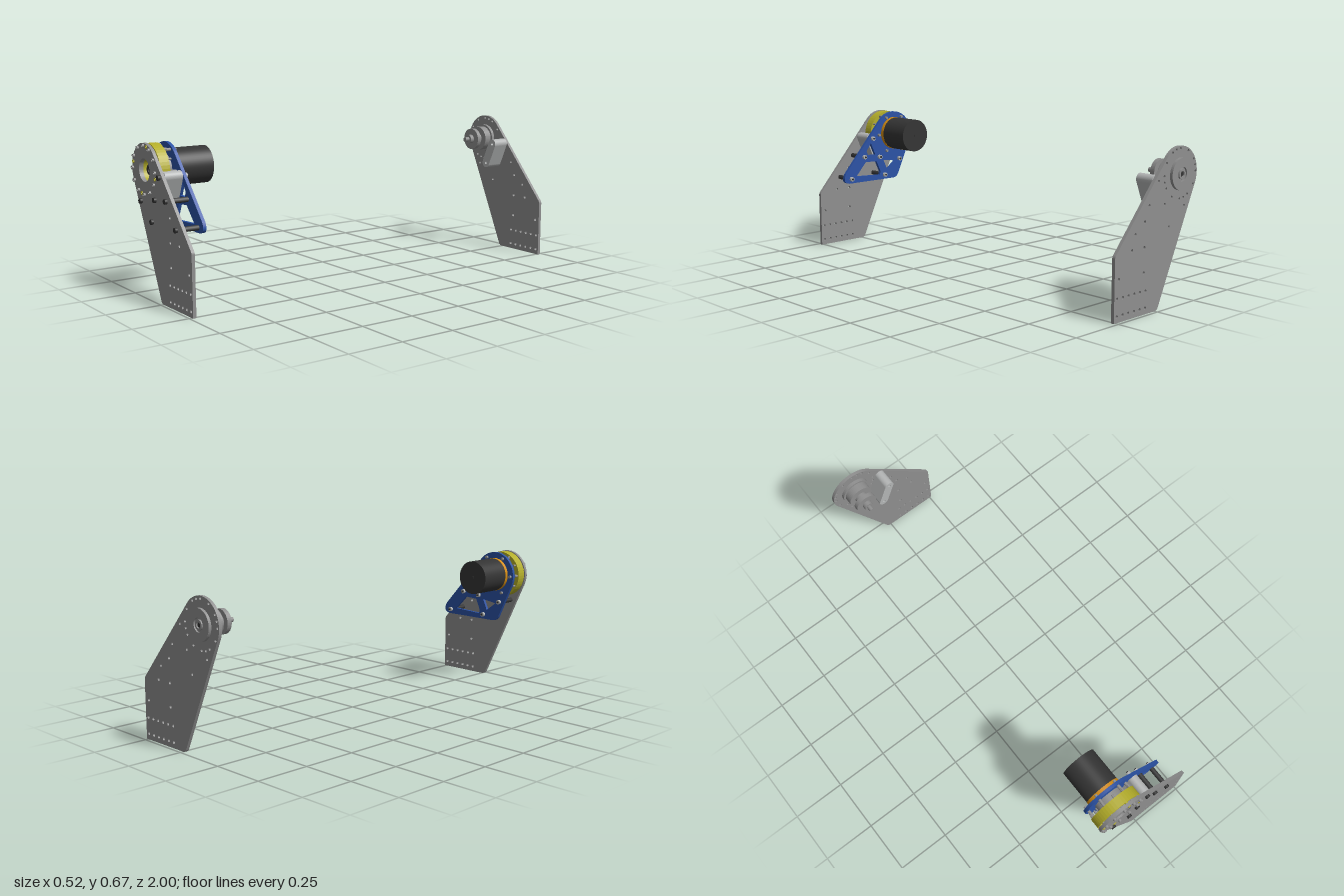
import * as THREE from 'three';

const mat = (name, color) => {
  const m = new THREE.MeshStandardMaterial({ color });
  m.name = name;
  return m;
};
const CX = -0.146, CY = 0.556, R = 0.116; // rounded head of the arm plates
const UP = 41.3 * Math.PI / 180, DOWN = 205 * Math.PI / 180; // tangent angles
const PINS = [[-0.18, 0.42], [-0.08, 0.343], [0.137, 0.343], [0.052, 0.449]];
const LINK_PINS = [[-0.005, 0.541], [-0.048, 0.441]];

export function createModel() {
  const root = new THREE.Group();
  const grey = mat('plate grey', 0x8f8f8f);
  const light = mat('light aluminium', 0xb4b6b6);
  const dark = mat('dark steel', 0x343434);
  const blue = mat('blue', 0x2b52a5);
  const yellow = mat('yellow', 0xb4ae2a);
  const orange = mat('orange', 0xd48c12);

  const add = (parent, name, geo, material, x = 0, y = 0, z = 0) => {
    const m = new THREE.Mesh(geo, material);
    m.name = name;
    m.position.set(x, y, z);
    parent.add(m);
    return m;
  };
  // cylinder along z between two depths
  const rod = (parent, name, material, x, y, r, z0, z1, sides = 40) => {
    const g = new THREE.CylinderGeometry(r, r, Math.abs(z1 - z0), sides).rotateX(Math.PI / 2);
    return add(parent, name, g, material, x, y, (z0 + z1) / 2);
  };
  const hole = (shape, x, y, r) => {
    shape.holes.push(new THREE.Path().absarc(x, y, r, 0, Math.PI * 2, true));
  };
  const slab = (parent, name, shape, material, z0, z1) => add(parent, name,
    new THREE.ExtrudeGeometry(shape, { depth: z1 - z0, bevelEnabled: false, curveSegments: 24 }), material, 0, 0, z0);
  const disc = (x, y, r, inner) => {
    const s = new THREE.Shape().absarc(x, y, r, 0, Math.PI * 2, false);
    if (inner) hole(s, x, y, inner);
    return s;
  };
  const polar = (r, deg) => {
    const a = deg * Math.PI / 180;
    return [CX + r * Math.cos(a), CY + r * Math.sin(a)];
  };
  const bolts = Array.from({ length: 12 }, (_, i) => polar(0.105, i * 30));
  const dowels = [75, 165, 255, 345].map(a => polar(0.105, a));

  // large arm plate outline with its hole pattern
  const armPlate = bore => {
    const s = new THREE.Shape();
    s.moveTo(0, 0);
    s.lineTo(0.26, 0);
    s.lineTo(0.26, 0.262);
    s.quadraticCurveTo(0.26, 0.27, 0.254, 0.277);
    s.absarc(CX, CY, R, UP, DOWN, false);
    s.lineTo(-0.021, 0.012);
    s.quadraticCurveTo(-0.015, 0, 0, 0);
    hole(s, CX, CY, bore);
    [[0.078, 0.385], [0.078, 0.28], [0.157, 0.28], [0.078, 0.176], [0.235, 0.176]]
      .forEach(([x, y]) => hole(s, x, y, 0.007));
    for (let i = 0; i < 6; i++) for (const y of [0.026, 0.098]) hole(s, 0.064 + i * 0.0358, y, 0.007);
    [...PINS, ...LINK_PINS, ...bolts, ...dowels].forEach(([x, y]) => hole(s, x, y, 0.006));
    return s;
  };

  // stadium-shaped spacer link between two pins
  const link = () => {
    const [[ax, ay], [bx, by]] = LINK_PINS;
    const a = Math.atan2(by - ay, bx - ax);
    const s = new THREE.Shape();
    s.absarc(ax, ay, 0.024, a + Math.PI / 2, a + Math.PI * 1.5, false);
    s.absarc(bx, by, 0.024, a - Math.PI / 2, a + Math.PI / 2, false);
    s.closePath();
    LINK_PINS.forEach(([x, y]) => hole(s, x, y, 0.007));
    return s;
  };

  // ---- driven arm at the front ----
  const front = new THREE.Group();
  front.name = 'drivenArm';
  root.add(front);
  slab(front, 'frontPlate', armPlate(0.05), grey, 0.972, 0.987);
  slab(front, 'yellowRing', disc(CX, CY, 0.114, 0.05), yellow, 0.922, 0.967);
  slab(front, 'ringSpacer', disc(CX, CY, 0.098, 0.05), grey, 0.967, 0.972);
  slab(front, 'frontLink', link(), light, 0.89, 0.972);

  // ring screws
  bolts.forEach(([x, y]) => {
    slab(front, 'ringScrew', disc(x, y, 0.008, 0.004), grey, 0.987, 0.996);
    rod(front, 'ringScrewShank', grey, x, y, 0.005, 0.906, 0.987, 16);
  });
  dowels.forEach(([x, y]) => slab(front, 'yellowBushing', disc(x, y, 0.008, 0.004), yellow, 0.965, 0.99));

  // output hub and shaft in the bore
  const hub = disc(CX, CY, 0.05);
  for (let i = 0; i < 8; i++) hole(hub, ...polar(0.03, i * 45 + 11), 0.005);
  slab(front, 'outputHub', hub, grey, 0.93, 0.945);
  rod(front, 'hubBody', grey, CX, CY, 0.065, 0.888, 0.93);
  slab(front, 'shaftCollar', disc(CX, CY, 0.022, 0.011), dark, 0.945, 0.965);
  rod(front, 'shaft', dark, CX, CY, 0.011, 0.945, 0.962, 6);

  // blue motor plate with truss cut-outs
  const mp = new THREE.Shape();
  mp.moveTo(-0.14, 0.32);
  mp.lineTo(0.148, 0.32);
  mp.quadraticCurveTo(0.196, 0.326, 0.17, 0.372);
  mp.absarc(CX, CY, R, UP, DOWN, false);
  mp.lineTo(-0.176, 0.345);
  mp.quadraticCurveTo(-0.164, 0.32, -0.14, 0.32);
  hole(mp, CX, CY, 0.055);
  [...PINS, ...LINK_PINS].forEach(([x, y]) => hole(mp, x, y, 0.006));
  [[[-0.155, 0.41], [-0.075, 0.422], [-0.1, 0.368]],
    [[-0.055, 0.362], [-0.03, 0.418], [0.04, 0.422], [0.105, 0.352], [-0.05, 0.345]],
    [[-0.022, 0.455], [0.006, 0.518], [0.034, 0.478], [0.026, 0.455]]].forEach(pts =>
    mp.holes.push(new THREE.Path(pts.map(p => new THREE.Vector2(...p)))));
  slab(front, 'motorPlate', mp, blue, 0.873, 0.888);

  // motor can with orange mounting ring
  rod(front, 'mountRing', orange, CX, 0.56, 0.083, 0.855, 0.873, 56);
  rod(front, 'motorCan', dark, CX, 0.56, 0.082, 0.696, 0.855, 56);
  rod(front, 'motorEndBoss', dark, CX, 0.56, 0.008, 0.693, 0.696, 20);
  for (let i = 0; i < 6; i++) rod(front, 'motorPlateScrew', grey, ...polar(0.1, i * 60), 0.007, 0.862, 0.92, 16);

  // standoffs and clamping bolts
  PINS.forEach(([x, y]) => rod(front, 'standoff', dark, x, y, 0.0115, 0.888, 0.972, 6));
  [...PINS, ...LINK_PINS].forEach(([x, y]) => {
    rod(front, 'boltHead', dark, x, y, 0.0115, 0.987, 0.998, 12);
    rod(front, 'boltNut', light, x, y, 0.011, 0.86, 0.873, 16);
    rod(front, 'boltTip', dark, x, y, 0.005, 0.855, 0.86, 12);
  });

  // ---- idler arm at the back ----
  const back = new THREE.Group();
  back.name = 'idlerArm';
  root.add(back);
  slab(back, 'backPlate', armPlate(0.05), grey, -0.985, -0.97);
  slab(back, 'backLink', link(), light, -0.97, -0.888);

  // bearing hub, turned profile from the outer face inwards
  const profile = [[0.03, -0.99], [0.03, -0.998], [0.068, -0.998], [0.068, -0.985], [0.05, -0.985], [0.05, -0.97],
    [0.07, -0.97], [0.07, -0.955], [0.06, -0.955], [0.06, -0.918], [0.03, -0.918], [0.03, -0.893], [0.053, -0.893],
    [0.053, -0.872], [0.022, -0.872], [0.022, -0.852], [0, -0.852]];
  const lathe = new THREE.LatheGeometry(profile.map(([r, z]) => new THREE.Vector2(r, z)), 48)
    .rotateX(Math.PI / 2).toNonIndexed();
  lathe.computeVertexNormals();
  add(back, 'bearingHub', lathe, grey, CX, CY);
  rod(back, 'bearingCore', grey, CX, CY, 0.03, -0.99, -0.92);
  slab(back, 'bearingRace', disc(CX, CY, 0.022, 0.013), grey, -0.998, -0.99);
  rod(back, 'axleHead', dark, CX, CY, 0.01, -0.995, -0.99, 6);
  rod(back, 'axleBolt', grey, CX, CY, 0.011, -0.852, -0.828, 16);
  return root;
}
